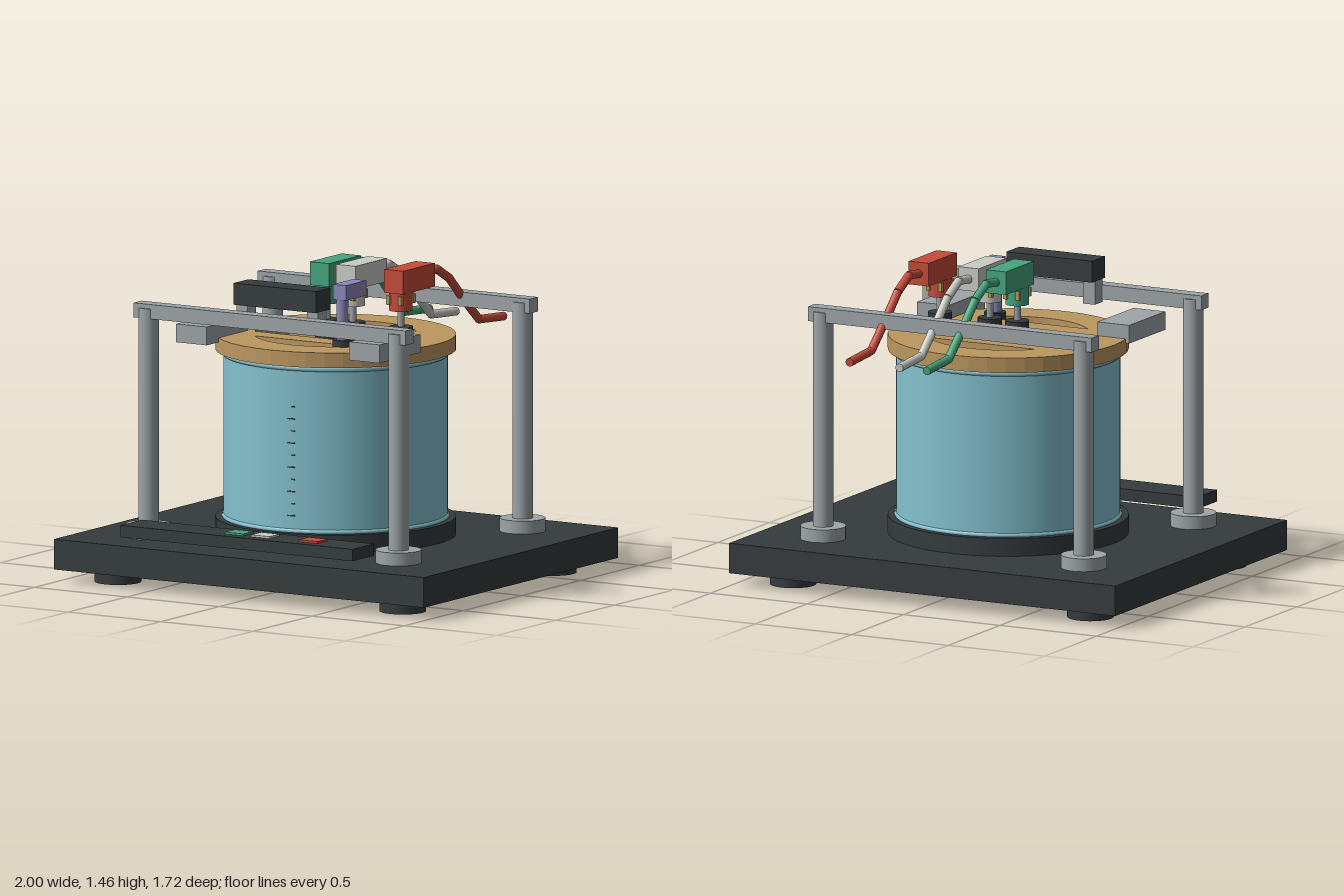
import * as THREE from 'three';

const mat = (name, color) => {
  const m = new THREE.MeshStandardMaterial({ color });
  m.name = name;
  return m;
};

export function createModel() {
  const charcoal = mat('charcoal', 0x353b3d);
  const steel = mat('steel grey', 0x9ea5a8);
  const glass = mat('tank blue', 0x84c1ce);
  const wood = mat('tan lid', 0xbc9860);
  const red = mat('red', 0xc64b3b);
  const green = mat('green', 0x45a67e);
  const white = mat('off white', 0xcaccc6);
  const purple = mat('purple', 0x8d86bb);
  const brass = mat('brass', 0xc29a55);

  const model = new THREE.Group();
  model.name = 'electrolysisRig';
  const ZC = 0.01; // centre of the tank and base

  const add = (name, geo, material, x = 0, y = 0, z = 0, parent = model) => {
    const m = new THREE.Mesh(geo, material);
    m.name = name;
    m.position.set(x, y, z);
    parent.add(m);
    return m;
  };
  // box from its extents
  const box = (name, material, x0, x1, y0, y1, z0, z1, parent) =>
    add(name, new THREE.BoxGeometry(x1 - x0, y1 - y0, z1 - z0), material,
      (x0 + x1) / 2, (y0 + y1) / 2, (z0 + z1) / 2, parent);
  // upright cylinder from y0 to y1
  const cyl = (name, material, r, x, z, y0, y1, parent, seg = 28) =>
    add(name, new THREE.CylinderGeometry(r, r, y1 - y0, seg), material, x, (y0 + y1) / 2, z, parent);

  // base plate and feet, frame posts with flanges
  box('basePlate', charcoal, -1, 1, 0.06, 0.2, -0.82, 0.835);
  for (const sx of [-1, 1]) for (const sz of [-1, 1]) {
    cyl('foot', charcoal, 0.107, sx * 0.77, ZC + sz * 0.64, 0, 0.06);
    cyl('postFlange', steel, 0.105, sx * 0.675, ZC + sz * 0.528, 0.2, 0.26);
    cyl('post', steel, 0.047, sx * 0.675, ZC + sz * 0.528, 0.2, 1.26);
  }
  for (const sz of [-1, 1]) {
    const z = ZC + sz * 0.528;
    box('crossBeam', steel, -0.735, 0.735, 1.213, 1.28, z - 0.035, z + 0.035);
  }

  // tank on its plinth, closed by the liquid surface, with rolled rims
  cyl('plinth', charcoal, 0.55, 0, ZC, 0.2, 0.283, model, 64);
  const wall = new THREE.CylinderGeometry(0.512, 0.512, 0.775, 64, 1, true);
  const tankMat = glass;
  tankMat.side = THREE.DoubleSide;
  add('tankWall', wall, tankMat, 0, 0.67, ZC);
  const surface = new THREE.CircleGeometry(0.51, 64).rotateX(-Math.PI / 2);
  add('liquidSurface', surface, tankMat, 0, 1.0, ZC);
  for (const [y, r] of [[0.288, 0.508], [1.042, 0.508]])
    add('tankRim', new THREE.TorusGeometry(r, 0.013, 8, 64).rotateX(Math.PI / 2), tankMat, 0, y, ZC);

  // level marks up the front of the tank
  for (let i = 0; i < 10; i++) {
    const w = i % 2 ? 0.02 : 0.045;
    const x = 0.1 - w / 2;
    const z = ZC + Math.sqrt(0.512 ** 2 - x ** 2);
    add('levelMark', new THREE.BoxGeometry(w, 0.006, 0.008), charcoal, x, 0.36 + i * 0.056, z - 0.002);
  }

  // lid: a disc with a wide slot and two circular segments cut out
  const R = 0.375;
  const a1 = Math.asin(0.145 / R), a2 = Math.asin(0.255 / R);
  const lid = new THREE.Shape().absarc(0, 0, 0.55, 0, Math.PI * 2, false);
  const slot = new THREE.Path();
  slot.absarc(0, 0, R, -a1, a1, false);
  slot.absarc(0, 0, R, Math.PI - a1, Math.PI + a1, false);
  slot.closePath();
  lid.holes.push(slot);
  for (const t of [0, Math.PI]) {
    const seg = new THREE.Path();
    seg.absarc(0, 0, R, t + a2, t + Math.PI - a2, false);
    seg.closePath();
    lid.holes.push(seg);
  }
  const lidGeo = new THREE.ExtrudeGeometry(lid, { depth: 0.07, bevelEnabled: false, curveSegments: 20 });
  add('lid', lidGeo.rotateX(-Math.PI / 2), wood, 0, 1.055, ZC);

  // lid brackets reaching in from the front beam
  for (const s of [-1, 1])
    add('lidBracket', new THREE.BoxGeometry(0.165, 0.085, 0.35), steel, s * 0.467, 1.147, 0.328);

  // display bar on two short supports
  box('displayBar', charcoal, -0.225, 0.22, 1.31, 1.41, 0.4, 0.525);
  for (const s of [-1, 1])
    box('displaySupport', steel, s * 0.19 - 0.03, s * 0.19 + 0.03, 1.2, 1.31, 0.435, 0.507);

  // temperature probe
  const probe = new THREE.Group();
  probe.name = 'probe';
  model.add(probe);
  cyl('probeCollar', charcoal, 0.05, 0.212, 0.278, 1.05, 1.155, probe);
  cyl('probeStem', purple, 0.028, 0.212, 0.286, 1.155, 1.34, probe);
  box('probeHead', purple, 0.177, 0.247, 1.34, 1.41, 0.138, 0.312, probe);

  // cable centre line as y, z pairs
  const cable = [[1.403, -0.18], [1.415, -0.287], [1.357, -0.395], [1.255, -0.505], [1.13, -0.65], [1.115, -0.86]];
  const up = new THREE.Vector3(0, 1, 0);

  // control strip with one button per electrode
  box('controlStrip', charcoal, -0.627, 0.627, 0.245, 0.3, 0.67, 0.855);

  for (const [name, x, color] of [['green', -0.045, green], ['white', 0.097, white], ['red', 0.355, red]]) {
    box(name + 'Button', color, x - 0.05, x + 0.05, 0.3, 0.309, 0.718, 0.805);
    const g = new THREE.Group();
    g.name = name + 'Electrode';
    g.position.set(x, 0, 0);
    model.add(g);
    cyl('electrodeCap', charcoal, 0.055, 0, 0.012, 1.01, 1.19, g);
    cyl('electrodeRod', steel, 0.016, 0, 0.014, 1.19, 1.27, g, 16);
    cyl('plugSocket', color, 0.054, 0, 0.014, 1.265, 1.35, g, 24);
    box('plugBody', color, -0.052, 0.052, 1.35, 1.458, -0.193, 0.078, g);
    for (const sx of [-1, 1]) for (const sz of [-1, 1])
      add('plugContact', new THREE.BoxGeometry(0.018, 0.042, 0.018), brass, sx * 0.032, 1.316, 0.014 + sz * 0.053, g);
    for (let i = 0; i + 1 < cable.length; i++) {
      const a = new THREE.Vector3(0, ...cable[i]), b = new THREE.Vector3(0, ...cable[i + 1]);
      const d = b.clone().sub(a);
      const c = a.clone().add(b).multiplyScalar(0.5);
      const m = add('cableSegment', new THREE.CylinderGeometry(0.02, 0.02, d.length(), 14), color, c.x, c.y, c.z, g);
      m.quaternion.setFromUnitVectors(up, d.normalize());
    }
  }
  return model;
}
